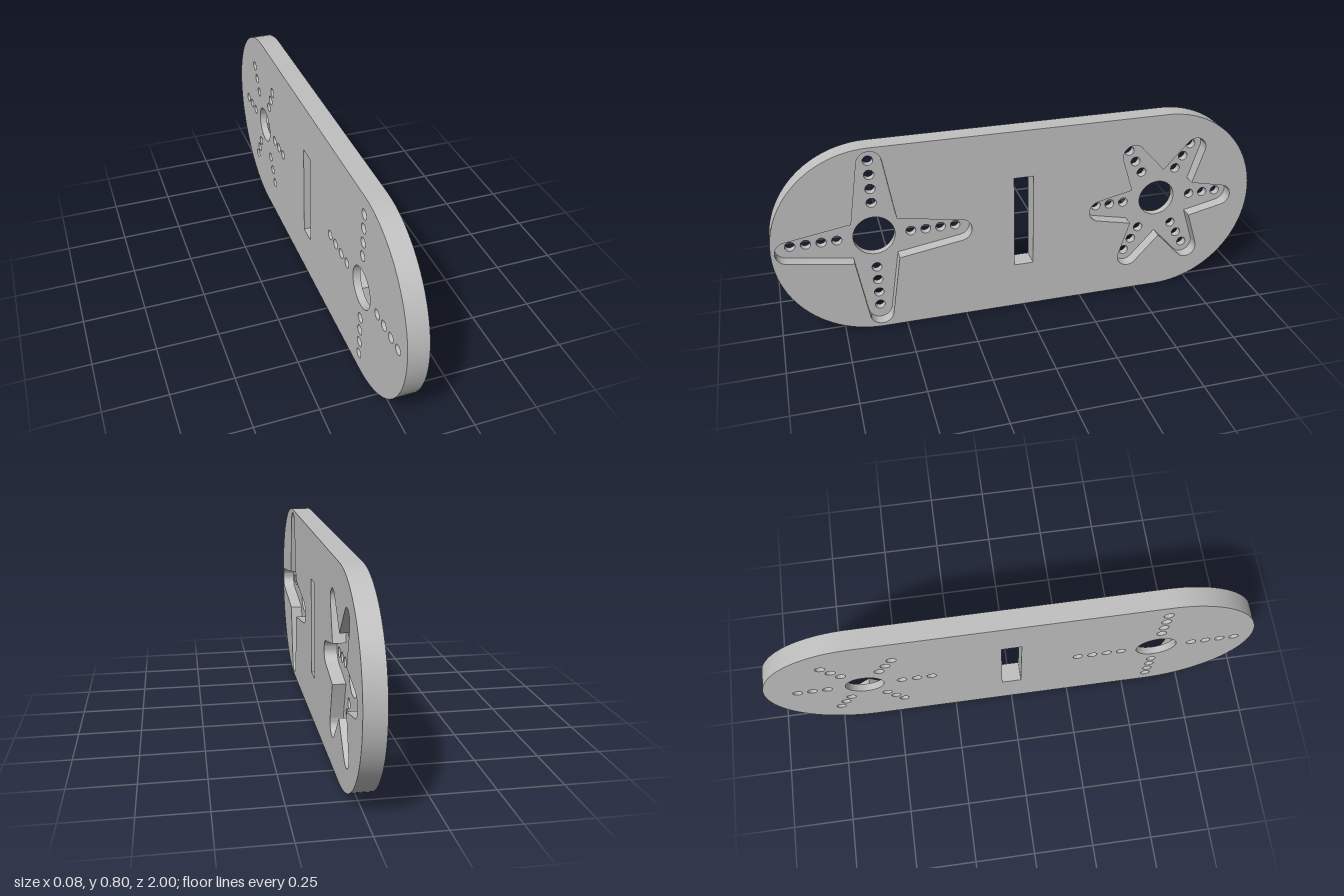
import * as THREE from 'three';
import { mergeGeometries, toCreasedNormals } from 'three/addons/utils/BufferGeometryUtils.js';

// Profiles are drawn in a plane (u, v) with depth w; the group is turned so u = -z, v = y, w = x.
const FRONT = 0.04, FLOOR = -0.01, BACK = -0.04;
const V = (x, y) => new THREE.Vector2(x, y);
const polar = (c, r, a) => V(c.x + r * Math.cos(a), c.y + r * Math.sin(a));

// All contours run counter-clockwise without a repeated end point.
function circle(c, r, n) {
  return Array.from({ length: n }, (_, i) => polar(c, r, (i / n) * Math.PI * 2));
}

function stadium(half, r, n) {
  const pts = [];
  for (const s of [1, -1]) {
    for (let i = 0; i <= n; i++) {
      const a = -Math.PI / 2 + (i / n) * Math.PI;
      pts.push(V(s * (half + r * Math.cos(a)), r + s * r * Math.sin(a)));
    }
  }
  return pts;
}

// Star with tapering arms, rounded tips and sharp inner corners.
function star(c, arms, inner, reach, tipR) {
  const pts = [], step = (Math.PI * 2) / arms;
  const corner = polar(V(0, 0), inner, step / 2);
  const dx = corner.x - reach, dy = corner.y;
  const sweep = Math.atan2(dy, dx) - Math.acos(tipR / Math.hypot(dx, dy)); // tangent point
  for (let k = 0; k < arms; k++) {
    const a = k * step, tip = polar(c, reach, a);
    for (let i = 0; i <= 14; i++) pts.push(polar(tip, tipR, a - sweep + (i / 14) * 2 * sweep));
    pts.push(polar(c, inner, a + step / 2));
  }
  return pts;
}

// Flat face with holes, at depth w; flipped for the back.
function face(outline, holes, w, flip = false) {
  const shape = new THREE.Shape(outline);
  shape.holes = holes.map((h) => new THREE.Path(h));
  let g = new THREE.ShapeGeometry(shape);
  if (flip) g.index.array.reverse();
  g = g.toNonIndexed().translate(0, 0, w);
  g.deleteAttribute('uv');
  g.deleteAttribute('normal');
  return g;
}

// Wall along a contour; inward walls line a hole.
function wall(points, w0, w1, inward = false) {
  const pts = inward ? [...points].reverse() : points;
  const pos = [];
  pts.forEach((a, i) => {
    const b = pts[(i + 1) % pts.length];
    pos.push(a.x, a.y, w0, b.x, b.y, w0, b.x, b.y, w1);
    pos.push(a.x, a.y, w0, b.x, b.y, w1, a.x, a.y, w1);
  });
  const g = new THREE.BufferGeometry();
  g.setAttribute('position', new THREE.Float32BufferAttribute(pos, 3));
  return g;
}

function part(name, geometries, material) {
  const g = mergeGeometries(geometries);
  g.computeVertexNormals();
  const mesh = new THREE.Mesh(toCreasedNormals(g, 0.5), material);
  mesh.name = name;
  return mesh;
}

export function createModel() {
  const grey = new THREE.MeshStandardMaterial({ color: 0xc0c0c0 });
  grey.name = 'plain grey';

  const model = new THREE.Group();
  model.name = 'hornPlate';
  model.rotation.y = Math.PI / 2;

  const outline = stadium(0.6, 0.4, 48);
  const slot = [V(-0.04, 0.2), V(0.04, 0.2), V(0.04, 0.6), V(-0.04, 0.6)];

  // Star pockets with a centre bore and a row of screw holes along each arm
  const pockets = [
    { name: 'fourArmPocket', u: -0.6, arms: 4, inner: 0.125, reach: 0.337, tipR: 0.048, bore: 0.083,
      rows: [0.146, 0.206, 0.266, 0.326] },
    { name: 'sixArmPocket', u: 0.6, arms: 6, inner: 0.155, reach: 0.272, tipR: 0.046, bore: 0.078,
      rows: [0.151, 0.212, 0.272] },
  ].map((p) => {
    const c = V(p.u, 0.4);
    const holes = [circle(c, p.bore, 48)];
    for (let k = 0; k < p.arms; k++) {
      for (const r of p.rows) holes.push(circle(polar(c, r, (k / p.arms) * Math.PI * 2), 0.02, 20));
    }
    return { name: p.name, contour: star(c, p.arms, p.inner, p.reach, p.tipR), holes };
  });

  // Round-ended plate with the central slot
  model.add(part('plate', [
    face(outline, [slot, ...pockets.map((p) => p.contour)], FRONT),
    face(outline, [slot, ...pockets.flatMap((p) => p.holes)], BACK, true),
    wall(outline, BACK, FRONT),
    wall(slot, BACK, FRONT, true),
  ], grey));

  // Pocket floors, pocket walls and hole linings
  for (const p of pockets) {
    model.add(part(p.name, [
      face(p.contour, p.holes, FLOOR),
      wall(p.contour, FLOOR, FRONT, true),
      ...p.holes.map((h) => wall(h, BACK, FLOOR, true)),
    ], grey));
  }

  const root = new THREE.Group();
  root.name = 'model';
  root.add(model);
  return root;
}
